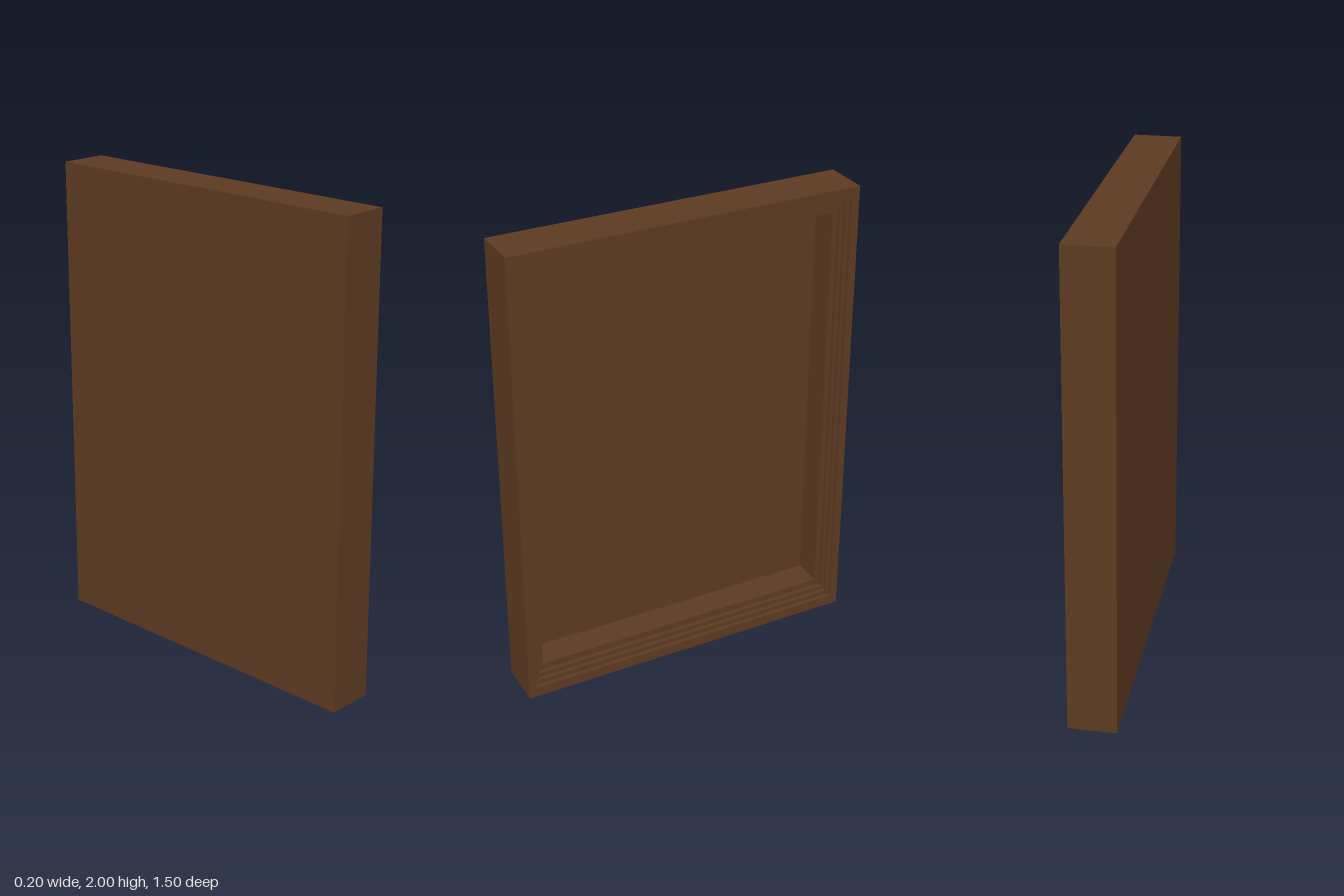
import * as THREE from 'three';

const HEIGHT = 2;
const WIDTH = 1.5;

// Rectangle centred on the origin, scaled from the full outline
function outline(PathType, scale) {
  const w = (WIDTH / 2) * scale;
  const h = (HEIGHT / 2) * scale;
  return new PathType().moveTo(-w, -h).lineTo(w, -h).lineTo(w, h).lineTo(-w, h).closePath();
}

// Slab lying between two x positions, with an optional scaled opening
function slab(name, material, x0, x1, opening) {
  const shape = outline(THREE.Shape, 1);
  if (opening) shape.holes.push(outline(THREE.Path, opening));
  const geometry = new THREE.ExtrudeGeometry(shape, { depth: x1 - x0, bevelEnabled: false });
  geometry.rotateY(Math.PI / 2);
  geometry.translate(x0, HEIGHT / 2, 0);
  const mesh = new THREE.Mesh(geometry, material);
  mesh.name = name;
  return mesh;
}

export function createModel() {
  const wood = new THREE.MeshStandardMaterial({ color: 0x5c3a21 });
  wood.name = 'darkWood';

  const group = new THREE.Group();
  group.name = 'shadowBoxFrame';

  // Closed back, deep inner walls, then three mouldings stepping outwards
  group.add(
    slab('backPanel', wood, -0.1, -0.08),
    slab('innerWalls', wood, -0.08, 0.046, 0.885),
    slab('innerMoulding', wood, 0.046, 0.064, 0.915),
    slab('middleMoulding', wood, 0.064, 0.082, 0.935),
    slab('outerRim', wood, 0.082, 0.1, 0.955)
  );
  return group;
}
